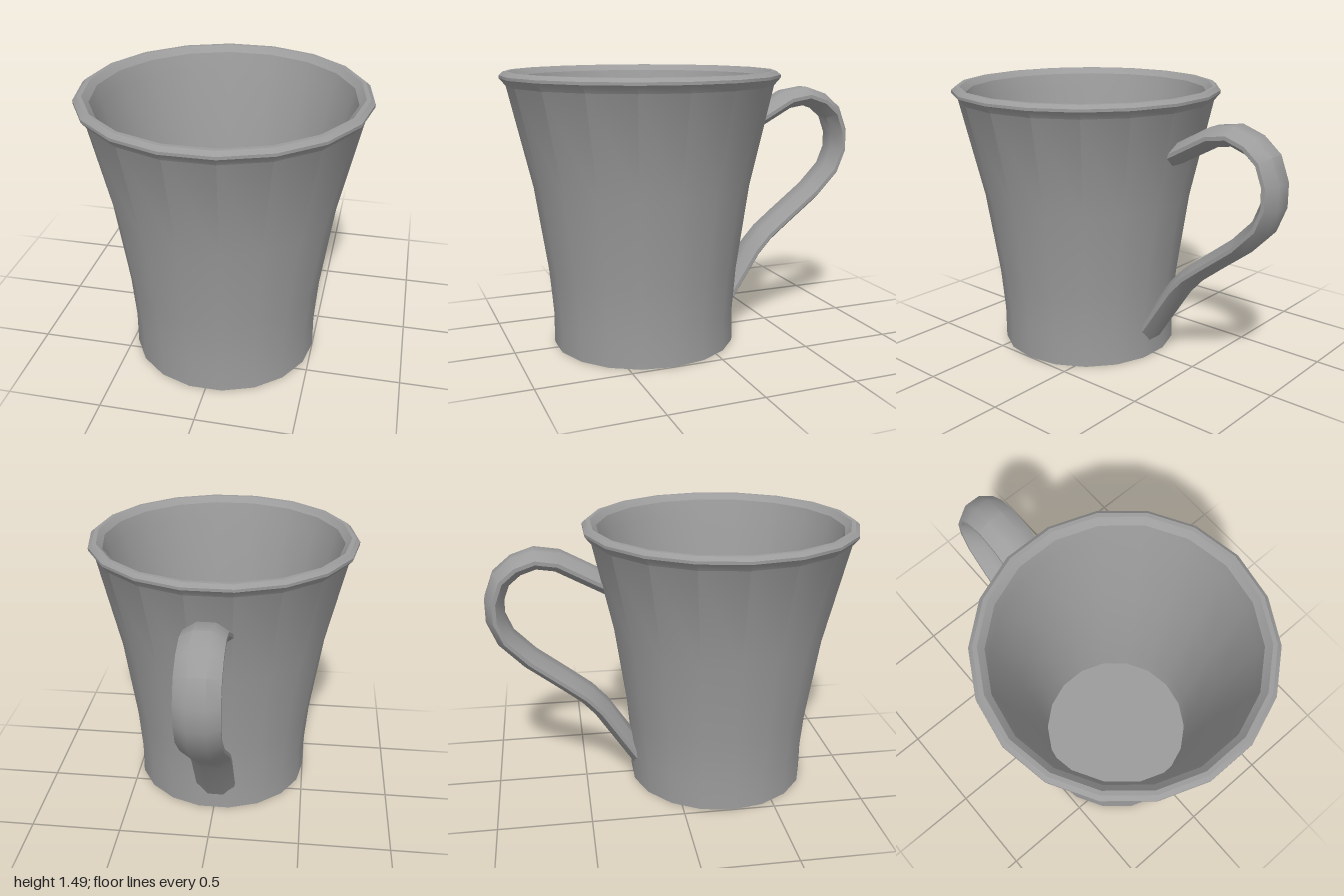
import * as THREE from 'three';
import { toCreasedNormals } from 'three/addons/utils/BufferGeometryUtils.js';

const CUP_Z = 0.267;

function addPart(group, name, geometry, crease) {
  const material = new THREE.MeshStandardMaterial({ color: 0x9c9c9c });
  const mesh = new THREE.Mesh(toCreasedNormals(geometry, crease), material);
  mesh.name = name;
  group.add(mesh);
  return mesh;
}

// Flared cup: outer wall up, over the rim, inner wall down to the floor
function cupGeometry() {
  const profile = [
    [0, 0], [0.5, 0], [0.5, 0.18], [0.52, 0.42], [0.587, 0.88], [0.71, 1.42],
    [0.744, 1.46], [0.744, 1.475], [0.722, 1.494], [0.7, 1.494], [0.667, 1.462],
    [0.645, 1.38], [0.53, 0.88], [0.462, 0.42], [0.44, 0.18], [0.43, 0.06], [0, 0.06],
  ].map(([r, y]) => new THREE.Vector2(r, y));
  return new THREE.LatheGeometry(profile, 18, Math.PI / 2);
}

// Handle: a lens-shaped section swept along a mitred path in the z-y plane
function handleGeometry() {
  const path = [
    [-0.2, 0.143], [-0.4, 0.447], [-0.48, 0.535], [-0.59, 0.622], [-0.78, 0.768],
    [-0.903, 0.895], [-0.95, 1.01], [-0.95, 1.117], [-0.908, 1.228], [-0.828, 1.295],
    [-0.725, 1.33], [-0.608, 1.312], [-0.34, 1.168],
  ].map(([z, y]) => new THREE.Vector2(z, y));
  // Across (x) and outward offsets
  const section = [
    [0.11, -0.01], [0.11, 0.01], [0.045, 0.05], [-0.045, 0.05],
    [-0.11, 0.01], [-0.11, -0.01], [-0.045, -0.05], [0.045, -0.05],
  ];
  const n = section.length, last = path.length - 1;
  const segmentNormal = (i) => {
    const d = path[i + 1].clone().sub(path[i]).normalize();
    return new THREE.Vector2(-d.y, d.x);
  };
  const positions = [], indices = [];
  path.forEach((p, i) => {
    const a = segmentNormal(Math.max(i - 1, 0));
    const b = segmentNormal(Math.min(i, last - 1));
    let m = a.clone().add(b).normalize();
    // Ends are cut vertically so that they sit inside the cup wall
    if (i === 0 || i === last) m = new THREE.Vector2(0, Math.sign(a.y));
    m.divideScalar(m.dot(a));
    for (const [u, v] of section) positions.push(u - 0.01, p.y + m.y * v, p.x + m.x * v);
  });
  for (let i = 0; i < last; i++) {
    for (let j = 0; j < n; j++) {
      const a = i * n + j, b = i * n + (j + 1) % n;
      indices.push(a, b, a + n, b, b + n, a + n);
    }
  }
  // End caps
  for (let j = 1; j < n - 1; j++) {
    indices.push(0, j + 1, j);
    indices.push(last * n, last * n + j, last * n + j + 1);
  }
  const geometry = new THREE.BufferGeometry();
  geometry.setAttribute('position', new THREE.Float32BufferAttribute(positions, 3));
  geometry.setIndex(indices);
  return geometry;
}

export function createModel() {
  const group = new THREE.Group();
  group.name = 'mug';
  addPart(group, 'cup', cupGeometry(), 0.5).position.z = CUP_Z;
  addPart(group, 'handle', handleGeometry(), 0.7);
  return group;
}
